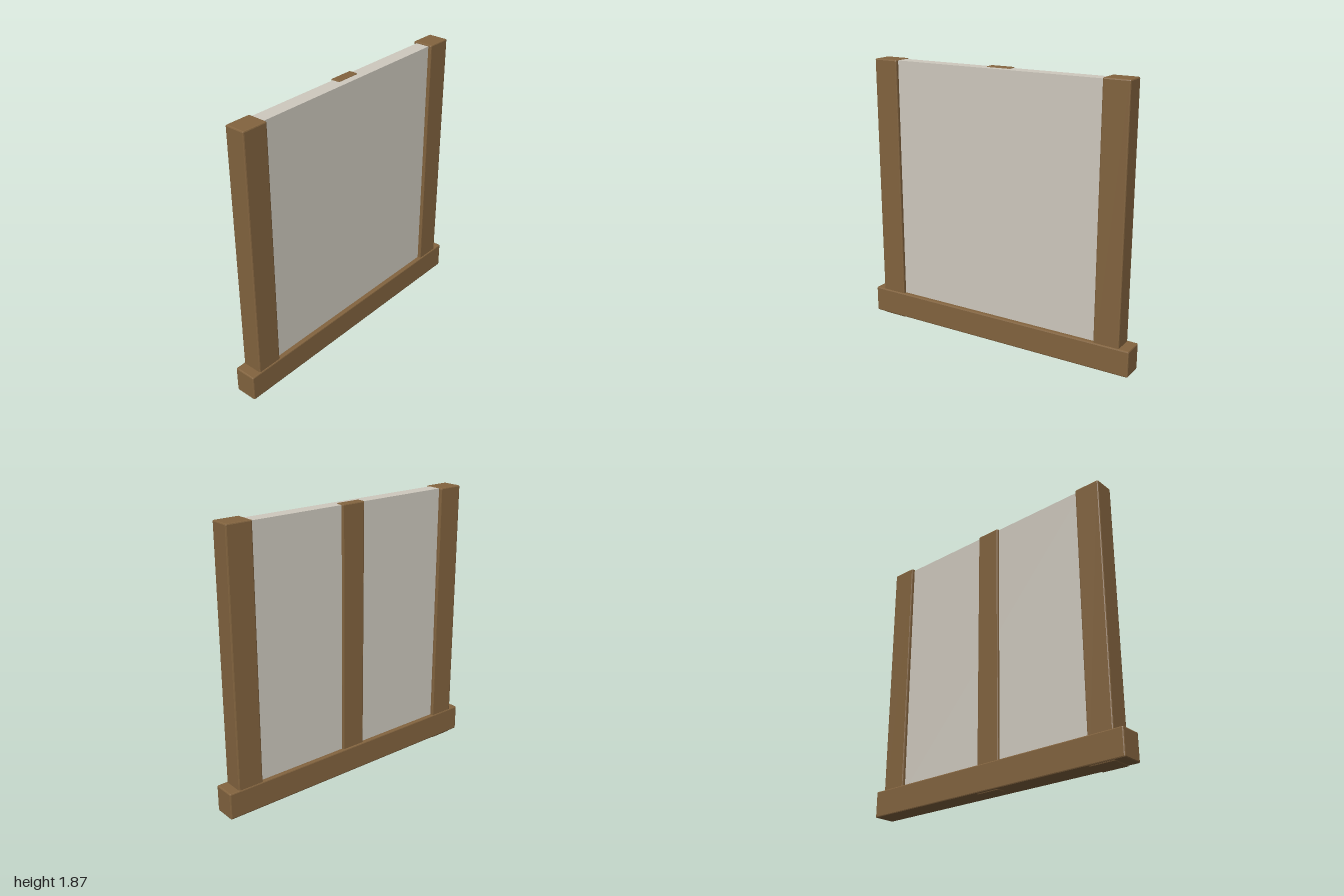
import * as THREE from 'three';
import { RoundedBoxGeometry } from 'three/addons/geometries/RoundedBoxGeometry.js';

const wood = new THREE.MeshStandardMaterial({ color: 0x83643f, flatShading: true });
const plaster = new THREE.MeshStandardMaterial({ color: 0xcfcabf });

// Box given by its extents on each axis, with a small chamfer when bevel > 0
function block(name, [x0, x1], [y0, y1], [z0, z1], material, bevel = 0) {
  const size = [x1 - x0, y1 - y0, z1 - z0];
  const geometry = bevel
    ? new RoundedBoxGeometry(...size, 1, bevel)
    : new THREE.BoxGeometry(...size);
  const mesh = new THREE.Mesh(geometry, material);
  mesh.name = name;
  mesh.position.set((x0 + x1) / 2, (y0 + y1) / 2, (z0 + z1) / 2);
  return mesh;
}

export function createModel() {
  const group = new THREE.Group();
  group.name = 'timberWallSection';
  const bevel = 0.008;

  group.add(
    // Horizontal sill along the bottom
    block('sillBeam', [-1, 0.995], [0.01, 0.19], [-0.077, 0.075], wood, bevel),
    // Upright posts at both ends, passing through the sill
    block('rightPost', [-0.932, -0.755], [0.003, 1.862], [-0.072, 0.068], wood, bevel),
    block('leftPost', [0.748, 0.925], [0.011, 1.868], [-0.072, 0.068], wood, bevel),
    // Slim stud on the back of the panel
    block('backStud', [-0.088, 0.085], [0.003, 1.864], [-0.065, 0], wood, bevel),
    // Infill panel between the posts
    block('infillPanel', [-0.8, 0.8], [0.1, 1.858], [-0.05, 0.045], plaster)
  );
  return group;
}
